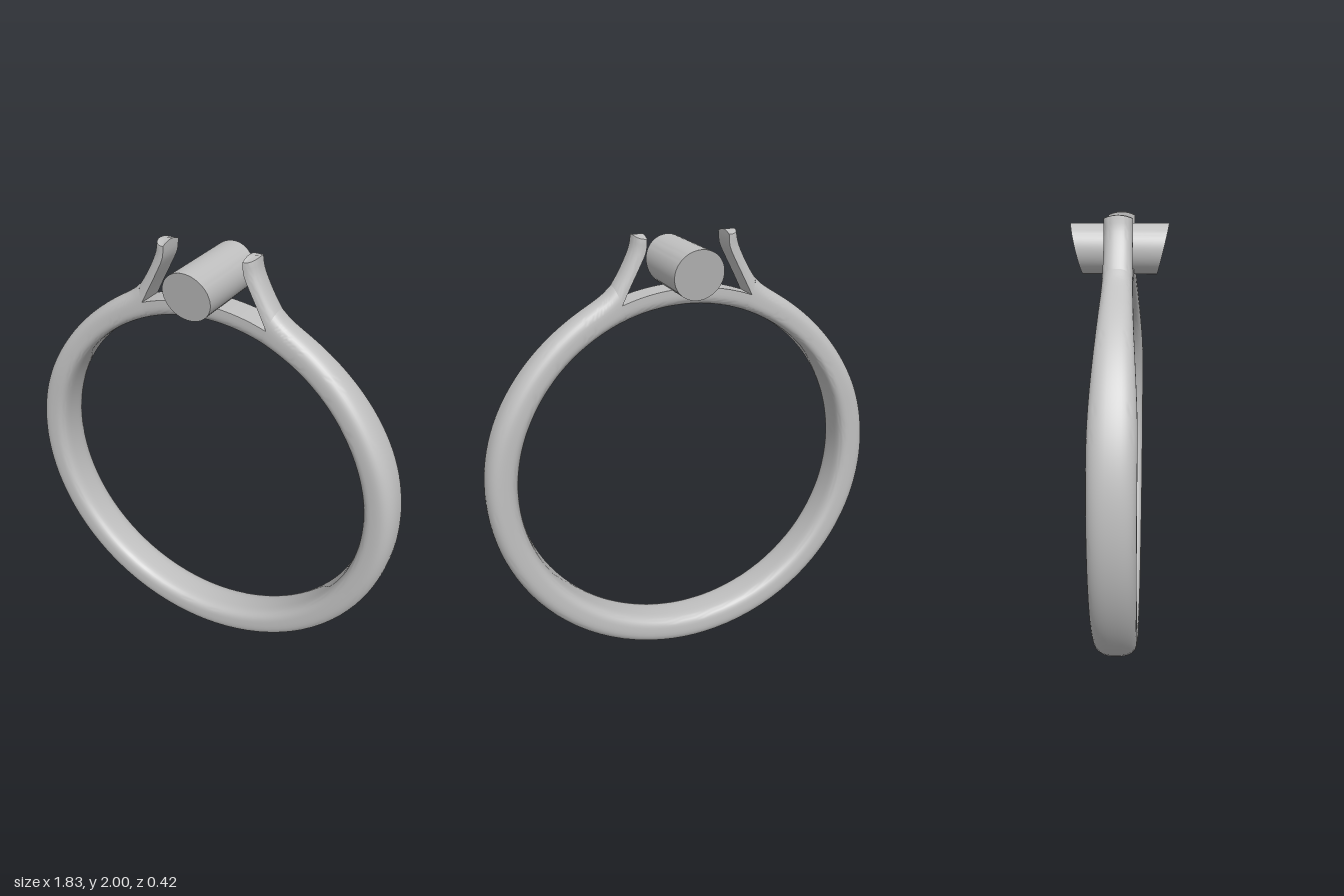
import * as THREE from 'three';
import { toCreasedNormals } from 'three/addons/utils/BufferGeometryUtils.js';

const CY = 0.922;      // height of the ring's centre
const R_IN = 0.777;    // finger hole radius
const R_SPLIT = 0.853; // where bridge and prongs part
const FORK = 20;       // fork angle from the top, degrees
const SIDES = 40;

const V = (x, y) => new THREE.Vector2(x, y);
const polar = (deg, r) => {
  const a = THREE.MathUtils.degToRad(deg);
  return V(Math.sin(a) * r, CY + Math.cos(a) * r);
};
// half width in z, tapering towards the top
const halfWidth = (y) => 0.095 - 0.035 * THREE.MathUtils.smoothstep(y, 1.2, 1.85);

const station = (inner, mid, outer, drop = 0) => ({ inner, mid, outer, drop, w: halfWidth(mid.y) });
const mirrored = (list) => list.map((s) => ({
  ...s,
  inner: V(-s.inner.x, s.inner.y), mid: V(-s.mid.x, s.mid.y), outer: V(-s.outer.x, s.outer.y),
})).reverse();

// Skin rounded sections running clockwise; an optional cap closes one end
function loft(stations, cap) {
  const pos = [], idx = [];
  for (const s of stations) {
    for (let j = 0; j < SIDES; j++) {
      const t = (j / SIDES) * Math.PI * 2;
      const c = Math.cos(t), n = Math.sin(t);
      const e = 2 / (c >= 0 ? 2.5 : 3.5);
      const p = s.mid.clone().lerp(c >= 0 ? s.outer : s.inner, Math.abs(c) ** e);
      const k = Math.sign(n) * Math.abs(n) ** e;
      pos.push(p.x, p.y - s.drop * k * k, s.w * k);
    }
  }
  const last = stations.length - 1;
  for (let i = 0; i < last; i++) {
    for (let j = 0; j < SIDES; j++) {
      const k = (j + 1) % SIDES;
      const a = i * SIDES + j, b = i * SIDES + k, c = a + SIDES, d = b + SIDES;
      idx.push(a, b, c, b, d, c);
    }
  }
  if (cap) {
    const s = stations[cap === 'start' ? 0 : last];
    const base = cap === 'start' ? 0 : last * SIDES;
    const centre = pos.length / 3;
    const m = s.mid.clone().lerp(s.outer, 0.5);
    pos.push(m.x, m.y, 0);
    for (let j = 0; j < SIDES; j++) {
      const a = base + j, b = base + (j + 1) % SIDES;
      if (cap === 'start') idx.push(b, a, centre);
      else idx.push(a, b, centre);
    }
  }
  const g = new THREE.BufferGeometry();
  g.setAttribute('position', new THREE.Float32BufferAttribute(pos, 3));
  g.setIndex(idx);
  return toCreasedNormals(g, 0.7);
}

export function createModel() {
  const model = new THREE.Group();
  model.name = 'ring';
  const metal = new THREE.MeshStandardMaterial({ color: 0xc0c0c0 });
  metal.name = 'grey metal';
  const add = (name, geometry) => {
    const mesh = new THREE.Mesh(geometry, metal);
    mesh.name = name;
    model.add(mesh);
    return mesh;
  };

  // Shank: outer radius by angle, from the fork round to the bottom
  const outline = new THREE.SplineCurve([
    V(FORK, 0.93), V(23, 0.911), V(27, 0.901), V(34, 0.897), V(45, 0.897), V(58, 0.902),
    V(75, 0.912), V(95, 0.917), V(120, 0.919), V(150, 0.921), V(180, 0.922),
  ]);
  const half = outline.getPoints(80).map(({ x, y }) =>
    station(polar(x, R_IN), polar(x, (R_IN + y) / 2), polar(x, y)));
  add('shank', loft([...half, ...mirrored(half).slice(1)]));

  // Bridge: flat on top, closing the finger hole between the forks
  const bridge = [];
  for (let i = 0; i <= 24; i++) {
    const a = -FORK + (2 * FORK * i) / 24;
    bridge.push(station(polar(a, R_IN), polar(a, R_SPLIT), polar(a, R_SPLIT)));
  }
  add('bridge', loft(bridge));

  // Prongs: flat inside, rounded outside, with a domed tip
  const inside = new THREE.SplineCurve([
    polar(FORK, R_SPLIT), V(0.25, 1.805), V(0.213, 1.875), V(0.184, 1.938), V(0.179, 2.0),
  ]).getPoints(12);
  const outside = new THREE.SplineCurve([
    polar(FORK, 0.93), V(0.285, 1.848), V(0.256, 1.903), V(0.236, 1.952), V(0.227, 2.0),
  ]).getPoints(12);
  const prong = inside.map((p, i) => station(p, p, outside[i], i === 12 ? 0.014 : 0)).reverse();
  add('leftProng', loft(prong, 'start'));
  add('rightProng', loft(mirrored(prong), 'end'));

  // Crossbar: cylinder along z with slanted ends, longer at the top
  const bar = new THREE.CylinderGeometry(0.108, 0.108, 2, 64);
  bar.rotateX(Math.PI / 2);
  const p = bar.attributes.position;
  for (let i = 0; i < p.count; i++) {
    p.setZ(i, Math.sign(p.getZ(i)) * (0.186 + p.getY(i) * 0.235));
  }
  add('crossbar', toCreasedNormals(bar, 0.6)).position.y = 1.851;

  return model;
}
